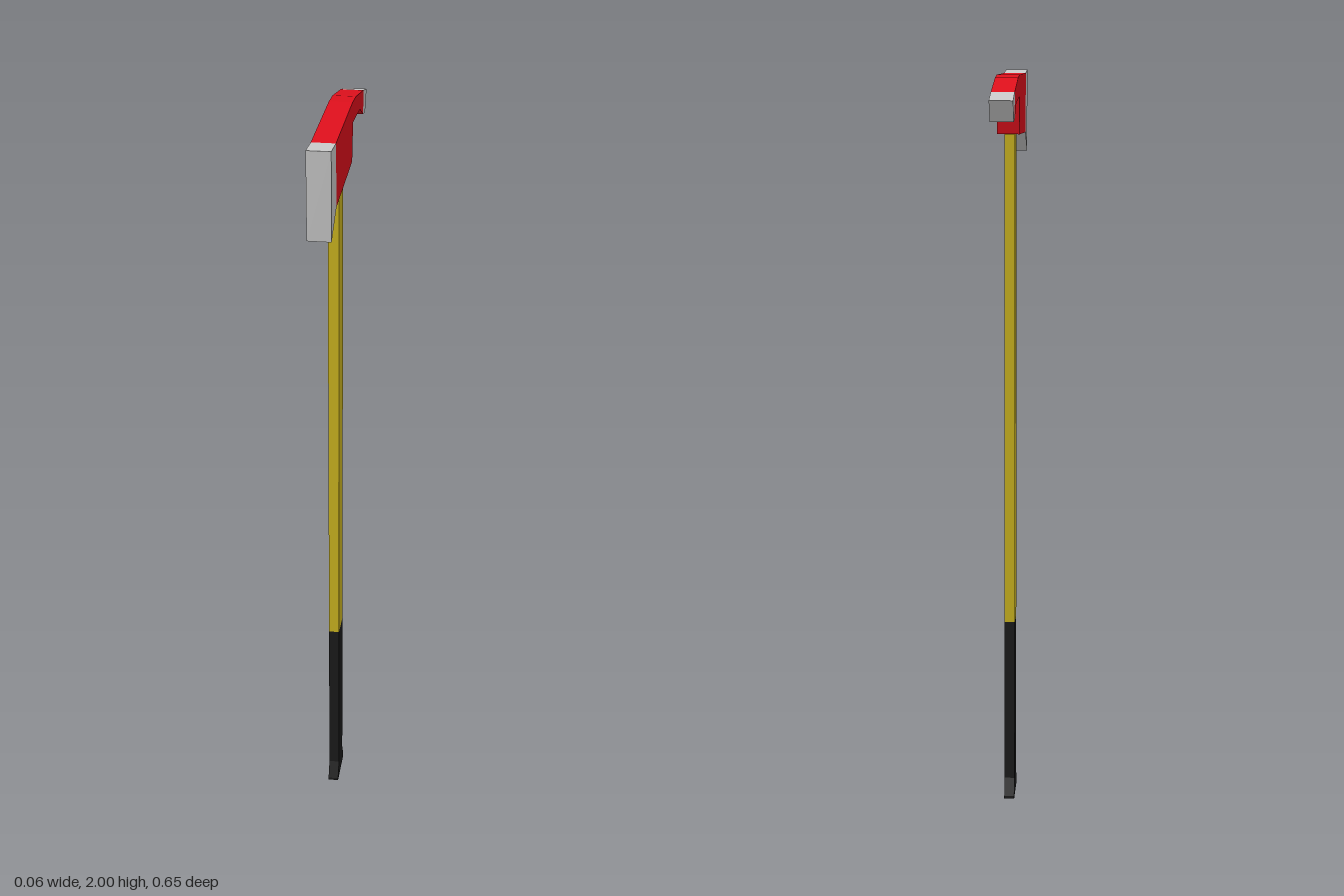
import * as THREE from 'three';

// Extrude a side outline of [z, y] points across x, centred on x = 0
function slab(name, outline, width, color) {
  const shape = new THREE.Shape(outline.map(([z, y]) => new THREE.Vector2(-z, y)));
  const geometry = new THREE.ExtrudeGeometry(shape, { depth: width, bevelEnabled: false });
  geometry.translate(0, 0, -width / 2).rotateY(Math.PI / 2);
  const material = new THREE.MeshStandardMaterial({ color });
  material.flatShading = true;
  const mesh = new THREE.Mesh(geometry, material);
  mesh.name = name;
  return mesh;
}

export function createModel() {
  const axe = new THREE.Group();
  axe.name = 'fireAxe';
  const headWidth = 0.058, handleWidth = 0.028;

  // Painted head, with the neck curving down towards the pick
  axe.add(slab('head', [
    [0.248, 1.992], [0.24, 1.836], [-0.041, 1.845], [-0.055, 1.94],
    [-0.19, 1.929], [-0.258, 1.893], [-0.258, 1.956], [-0.205, 1.967],
    [-0.11, 1.987], [-0.045, 1.993],
  ], headWidth, 0xe0101c));

  // Bare metal cutting blade and pick end
  axe.add(slab('blade', [
    [0.326, 2], [0.323, 1.782], [0.24, 1.836], [0.248, 1.992],
  ], headWidth, 0xcccccc));
  axe.add(slab('pickTip', [
    [-0.258, 1.956], [-0.258, 1.893], [-0.297, 1.887], [-0.326, 1.938],
  ], headWidth, 0xcccccc));

  // Shaft and flared grip
  axe.add(slab('shaft', [
    [0.085, 1.842], [0.085, 0.517], [0.014, 0.517], [0.014, 1.842],
  ], handleWidth, 0xd0b820));
  axe.add(slab('grip', [
    [0.085, 0.517], [0.085, 0.053], [0.105, 0.007], [0.105, 0],
    [-0.008, 0], [-0.008, 0.007], [0.014, 0.053], [0.014, 0.517],
  ], handleWidth, 0x1c1c1c));

  return axe;
}
